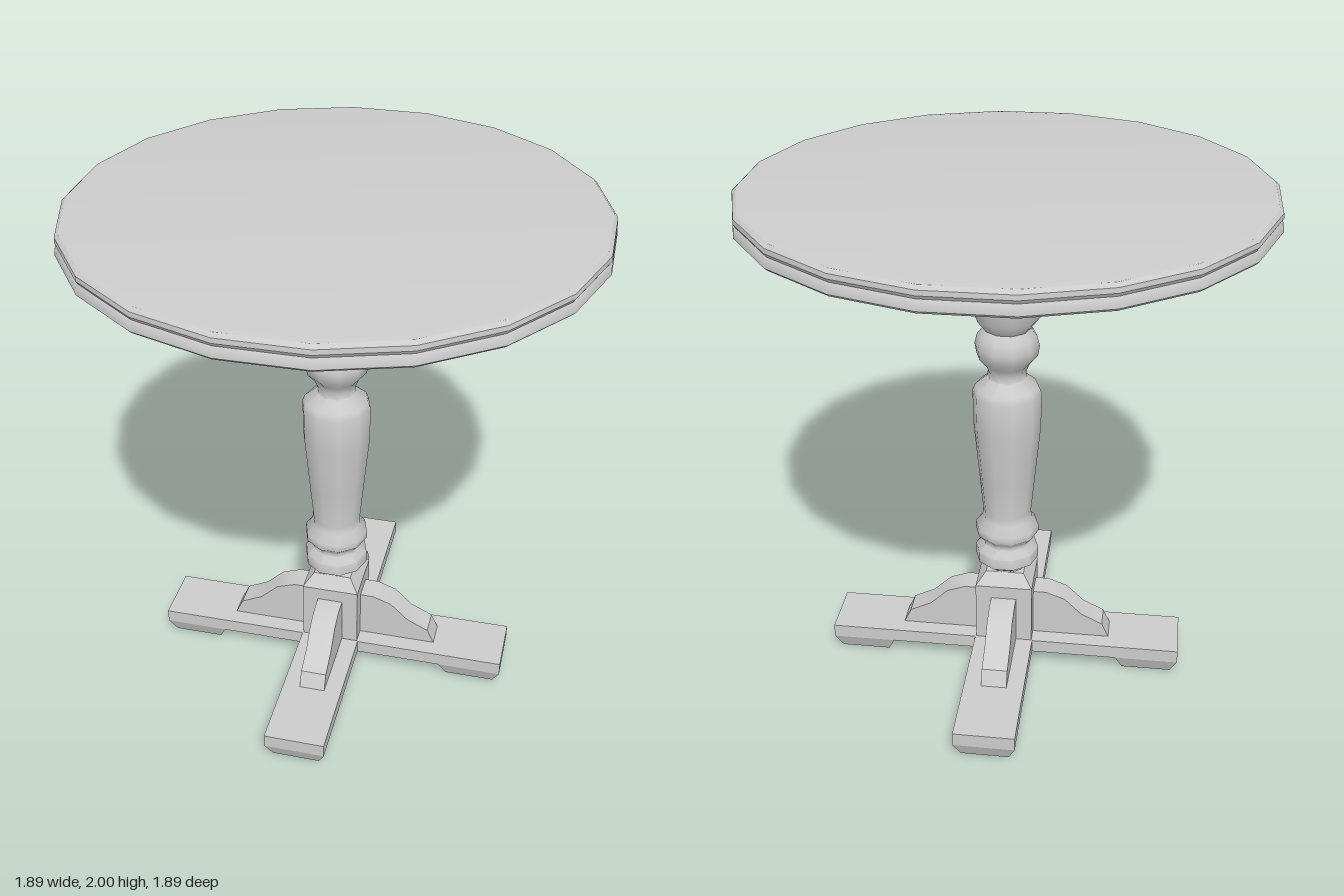
import * as THREE from 'three';
import { toCreasedNormals } from 'three/addons/utils/BufferGeometryUtils.js';

const material = new THREE.MeshStandardMaterial({ color: 0xcccccc });

function part(name, geometry, crease = 0.6) {
  const mesh = new THREE.Mesh(toCreasedNormals(geometry, crease), material);
  mesh.name = name;
  return mesh;
}

function lathe(points, sides, start) {
  return new THREE.LatheGeometry(points.map(([r, y]) => new THREE.Vector2(r, y)), sides, start);
}

// Square section turned from a profile of half widths
function squareLathe(points) {
  return lathe(points.map(([h, y]) => [h * Math.SQRT2, y]), 4, Math.PI / 4);
}

// Half of the cross base: beam, tapered foot and bracket, pointing along +x
function createLeg() {
  const leg = new THREE.Group();
  leg.name = 'leg';

  const beam = part('beam', new THREE.BoxGeometry(0.707, 0.054, 0.234));
  beam.position.set(0.3535, 0.088, 0);
  leg.add(beam);

  const footGeometry = new THREE.BoxGeometry(0.25, 0.061, 0.234);
  const p = footGeometry.attributes.position;
  for (let i = 0; i < p.count; i++) {
    if (p.getY(i) < 0) p.setXYZ(i, p.getX(i) * 0.78, p.getY(i), p.getZ(i) * 0.78);
  }
  const foot = part('foot', footGeometry);
  foot.position.set(0.582, 0.0305, 0);
  leg.add(foot);

  const outline = [[0.05, 0.11], [0.425, 0.11], [0.395, 0.175], [0.31, 0.217],
    [0.24, 0.285], [0.165, 0.312], [0.05, 0.312]];
  const shape = new THREE.Shape(outline.map(([x, y]) => new THREE.Vector2(x, y)));
  const bracket = part('bracket', new THREE.ExtrudeGeometry(shape, { depth: 0.1, bevelEnabled: false }));
  bracket.position.z = -0.05;
  leg.add(bracket);
  return leg;
}

export function createModel() {
  const table = new THREE.Group();
  table.name = 'pedestalTable';

  // Twenty-sided top with a grooved rim
  const k = 1 / Math.cos(Math.PI / 20);
  const rim = [[0, 1.91], [0.935, 1.91], [0.945, 1.92], [0.943, 1.942], [0.934, 1.955],
    [0.942, 1.968], [0.94, 1.985], [0.927, 1.997], [0.905, 2], [0, 2]];
  table.add(part('tableTop', lathe(rim.map(([r, y]) => [r * k, y]), 20, Math.PI / 20)));

  // Turned column
  const turning = [[0.08, 0.4], [0.078, 0.42], [0.125, 0.455], [0.125, 0.5], [0.098, 0.53],
    [0.098, 0.545], [0.125, 0.575], [0.125, 0.605], [0.098, 0.64], [0.095, 0.67],
    [0.11, 0.83], [0.13, 1.05], [0.132, 1.19], [0.122, 1.215], [0.075, 1.255], [0.072, 1.28],
    [0.085, 1.31], [0.115, 1.345], [0.122, 1.385], [0.112, 1.425], [0.088, 1.455],
    [0.122, 1.5], [0.125, 1.63], [0.115, 1.655], [0.1, 1.67], [0.1, 1.7]];
  table.add(part('column', lathe(turning, 10, Math.PI / 2), 0.9));

  // Square blocks above and below the turning
  table.add(part('upperBlock', squareLathe([[0, 1.675], [0.095, 1.675], [0.11, 1.69], [0.11, 1.915]])));
  table.add(part('lowerBlock', squareLathe([[0.113, 0.1], [0.113, 0.365], [0.075, 0.415], [0, 0.415]])));

  // Four legs in a cross
  for (let i = 0; i < 4; i++) {
    const leg = createLeg();
    leg.rotation.y = (i * Math.PI) / 2;
    table.add(leg);
  }
  return table;
}
